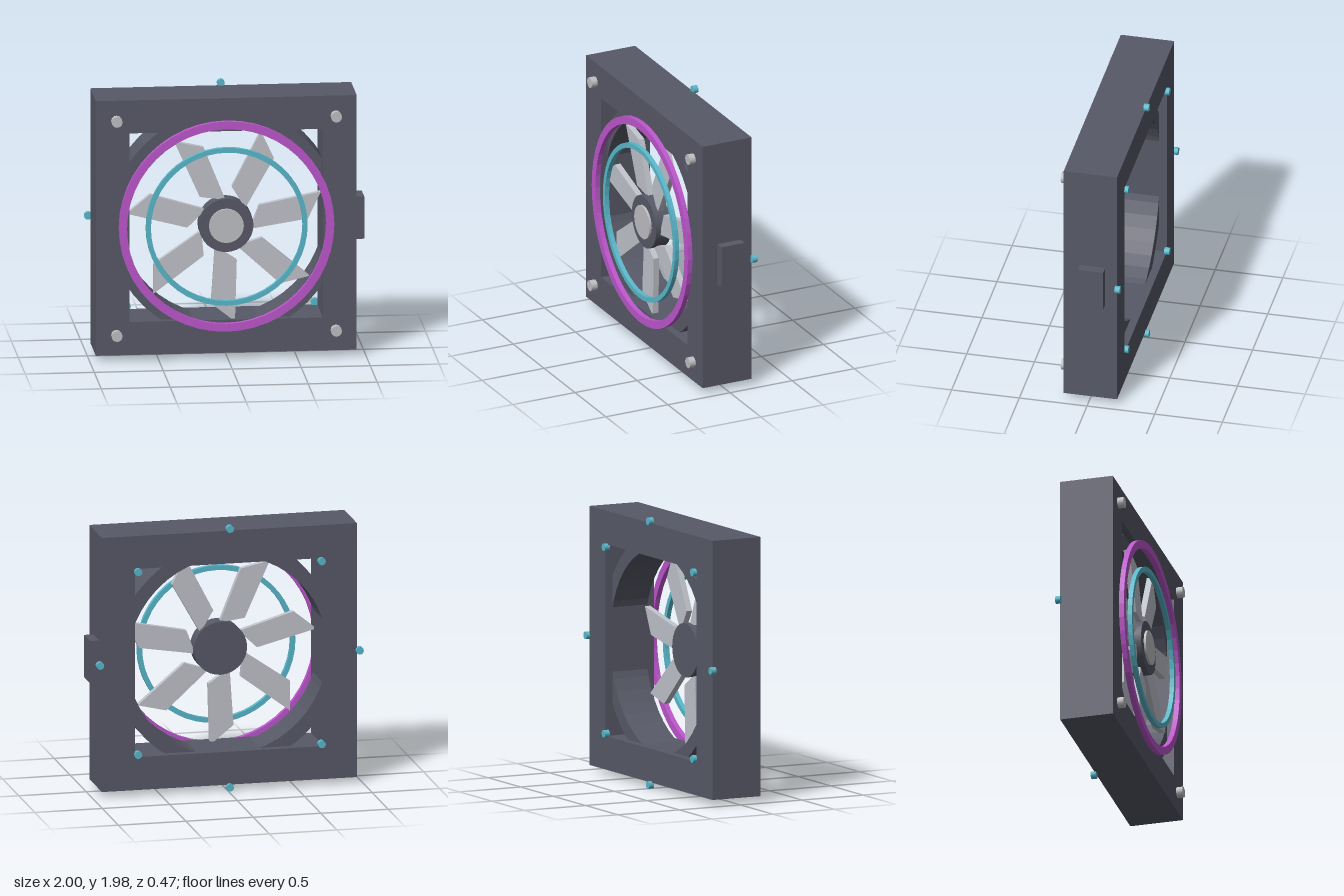
import * as THREE from 'three';

const mat = (name, color) => {
  const m = new THREE.MeshStandardMaterial({ color });
  m.name = name;
  return m;
};

export function createModel() {
  const dark = mat('dark casing', 0x575967);
  const silver = mat('silver blade', 0xc0c3cb);
  const steel = mat('steel', 0xbfc0c4);
  const magenta = mat('magenta', 0xbd56cd);
  const cyan = mat('cyan', 0x5ab9cc);

  const fan = new THREE.Group();
  fan.name = 'fan';
  fan.position.set(-0.012, 0.992, 0); // fan axis

  const add = (name, geometry, material, x = 0, y = 0, z = 0) => {
    const mesh = new THREE.Mesh(geometry, material);
    mesh.name = name;
    mesh.position.set(x, y, z);
    fan.add(mesh);
    return mesh;
  };

  // Extrudes a shape from z0 to z1
  const slab = (shape, z0, z1, curveSegments = 24) =>
    new THREE.ExtrudeGeometry(shape, { depth: z1 - z0, bevelEnabled: false, curveSegments })
      .translate(0, 0, z0);

  const polygon = (pts) => new THREE.Shape(pts.map(([x, y]) => new THREE.Vector2(x, y)));
  const square = (h) => polygon([[-h, -h], [h, -h], [h, h], [-h, h]]);

  const ring = (outer, inner, z0, z1) => {
    const shape = new THREE.Shape().absarc(0, 0, outer, 0, Math.PI * 2, false);
    shape.holes.push(new THREE.Path().absarc(0, 0, inner, 0, Math.PI * 2, true));
    return slab(shape, z0, z1);
  };

  // Cylinder lying along z
  const disc = (r, z0, z1, sides) =>
    new THREE.CylinderGeometry(r, r, z1 - z0, sides)
      .rotateX(Math.PI / 2).translate(0, 0, (z0 + z1) / 2);

  // Square casing with a square opening
  const casing = square(0.945);
  casing.holes.push(square(0.7));
  add('casing', slab(casing, -0.207, 0.187), dark);

  // Round duct inside the casing
  add('duct', ring(0.842, 0.74, -0.15, 0.135), dark);

  // Glowing rings on the front
  add('outerRing', ring(0.78, 0.722, 0.187, 0.224), magenta);
  add('innerRing', ring(0.586, 0.55, 0.198, 0.231), cyan);

  // Hub and its cap
  add('hub', disc(0.197, 0.07, 0.19, 32), dark);
  add('hubCap', disc(0.126, 0.18, 0.207, 24), steel);

  // Seven swept blades, drawn pointing along +x
  const blade = slab(
    polygon([[0.165, -0.077], [0.587, -0.105], [0.722, 0.067], [0.268, 0.08]]), 0.108, 0.152);
  for (let i = 0; i < 7; i++) {
    add('blade', blade, silver).rotation.z = -Math.PI / 2 + (i * Math.PI * 2) / 7;
  }

  // Corner screws
  const screw = disc(0.04, 0.18, 0.234, 12);
  for (const sx of [-1, 1]) for (const sy of [-1, 1]) {
    add('screw', screw, steel, sx * 0.795, sy * 0.795);
  }

  // Small lights around the back
  const light = disc(0.028, -0.235, -0.196, 12);
  for (let i = 0; i < 8; i++) {
    const a = (i * Math.PI) / 4;
    if (i === 0) continue; // handled below, beside the connector
    add('backLight', light, cyan, 0.962 * Math.cos(a), 0.962 * Math.sin(a));
  }
  add('backLight', light, cyan, 0.962, 0);

  // Connector box on the left side
  add('connector', new THREE.BoxGeometry(0.09, 0.314, 0.186), dark, 0.967, 0.004, -0.026);

  const model = new THREE.Group();
  model.name = 'caseFan';
  model.add(fan);
  return model;
}
